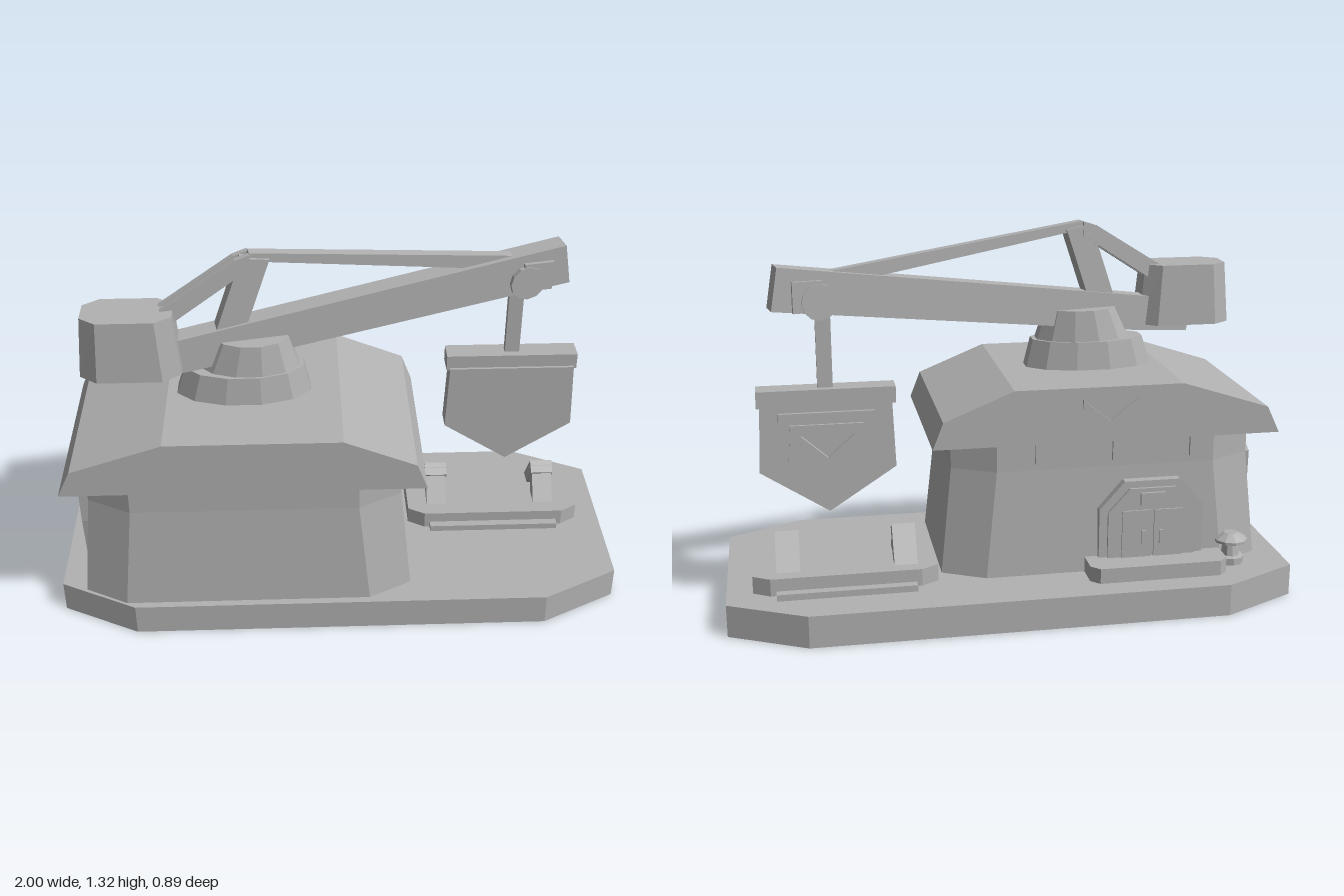
import * as THREE from 'three';

const stone = new THREE.MeshStandardMaterial({ color: 0xb2b2b2, flatShading: true, side: THREE.DoubleSide });
stone.name = 'plain grey';

export function createModel() {
  const model = new THREE.Group();

  const add = (name, geo, parent = model) => {
    const m = new THREE.Mesh(geo, stone);
    m.name = name;
    parent.add(m);
    return m;
  };

  // box given by its limits
  const box = (name, x0, x1, y0, y1, z0, z1, parent) => {
    const m = add(name, new THREE.BoxGeometry(x1 - x0, y1 - y0, z1 - z0), parent);
    m.position.set((x0 + x1) / 2, (y0 + y1) / 2, (z0 + z1) / 2);
    return m;
  };

  // outline in x and y, extruded from z0 to z1
  const plate = (name, pts, z0, z1, parent) => {
    const shape = new THREE.Shape(pts.map(p => new THREE.Vector2(...p)));
    const geo = new THREE.ExtrudeGeometry(shape, { depth: z1 - z0, bevelEnabled: false });
    geo.translate(0, 0, z0);
    return add(name, geo, parent);
  };

  // convex rings stacked upwards, closed on top and, if wanted, below
  const loft = (name, rings, closedBelow = false) => {
    const pos = [], n = rings[0].length;
    const tri = (...p) => p.forEach(v => pos.push(...v));
    for (let r = 0; r < rings.length - 1; r++) {
      const a = rings[r], b = rings[r + 1];
      for (let i = 0; i < n; i++) {
        const j = (i + 1) % n;
        tri(a[i], a[j], b[j]);
        tri(a[i], b[j], b[i]);
      }
    }
    const lo = rings[0], hi = rings[rings.length - 1];
    for (let i = 1; i < n - 1; i++) {
      if (closedBelow) tri(lo[0], lo[i + 1], lo[i]);
      tri(hi[0], hi[i], hi[i + 1]);
    }
    const geo = new THREE.BufferGeometry();
    geo.setAttribute('position', new THREE.Float32BufferAttribute(pos, 3));
    geo.computeVertexNormals();
    return add(name, geo);
  };

  // rectangle ring with cut corners
  const oct = (y, x0, x1, z0, z1, cx, cz) => [
    [x1, y, z1 - cz], [x1, y, z0 + cz], [x1 - cx, y, z0], [x0 + cx, y, z0],
    [x0, y, z0 + cz], [x0, y, z1 - cz], [x0 + cx, y, z1], [x1 - cx, y, z1],
  ];

  // ground slab, hollow underneath
  const slab = y => oct(y, -1, 1, -0.445, 0.445, 0.27, 0.135);
  loft('groundSlab', [slab(0), slab(0.115)]);

  // house walls and roof
  loft('houseWalls', [
    oct(0.115, -0.91, 0.25, -0.24, 0.42, 0.15, 0.078),
    oct(0.5, -0.87, 0.21, -0.22, 0.395, 0.15, 0.078),
    oct(0.61, -0.87, 0.21, -0.22, 0.395, 0.15, 0.078),
  ]);
  plate('roof', [[-0.945, 0.605], [0.287, 0.605], [0.25, 0.7], [0.005, 0.8],
    [-0.59, 0.8], [-0.9, 0.7]], -0.26, 0.432);

  // chevron badge on a back face
  const chevron = (name, cx, y, w, z0, z1) => plate(name, [
    [cx - w, y + 0.12], [cx - w, y + 0.085], [cx, y], [cx + w, y + 0.085],
    [cx + w, y + 0.12], [cx, y + 0.04]], z0, z1);
  chevron('roofChevron', -0.33, 0.64, 0.098, -0.27, -0.255);

  // small brackets under the back eave
  for (const x of [-0.09, -0.365, -0.645]) box('eaveBracket', x - 0.015, x + 0.015, 0.525, 0.61, -0.232, -0.21);

  // pointed wall spikes on the side
  for (const z of [-0.03, 0.225]) {
    const spike = plate('wallSpike', [[-0.036, 0.475], [-0.032, 0.36], [-0.008, 0.19], [0.008, 0.19],
      [0.032, 0.36], [0.036, 0.475], [0, 0.495]], -0.025, 0.025);
    spike.rotation.y = -Math.PI / 2;
    spike.position.set(-0.888, 0, z);
  }

  // back doorway with step
  const step = y => oct(y, -0.75, -0.253, -0.357, -0.15, 0.03, 0.03);
  loft('doorStep', [step(0.115), step(0.17)]);
  const arch = (name, w, y1, c, z0, z1) => plate(name, [
    [-0.49 - w, 0.17], [-0.49 + w, 0.17], [-0.49 + w, y1 - c], [-0.49 + w - c * 0.9, y1],
    [-0.49 - w + c * 0.9, y1], [-0.49 - w, y1 - c]], z0, z1);
  arch('doorFrame', 0.19, 0.45, 0.1, -0.255, -0.19);
  arch('doorSurround', 0.16, 0.425, 0.085, -0.265, -0.25);
  for (const s of [-1, 1]) {
    const x = -0.49 + s * 0.058;
    box('doorLeaf', x - 0.052, x + 0.052, 0.17, 0.345, -0.271, -0.26);
    box('doorHandle', x - s * 0.025 - 0.008, x - s * 0.025 + 0.008, 0.22, 0.27, -0.278, -0.27);
  }
  box('doorLamp', -0.535, -0.445, 0.362, 0.41, -0.275, -0.26);

  // bollard beside the door
  const profile = [[0.05, 0], [0.05, 0.025], [0.035, 0.03], [0.028, 0.075],
    [0.06, 0.08], [0.06, 0.09], [0.025, 0.112], [0, 0.112]].map(p => new THREE.Vector2(...p));
  add('bollard', new THREE.LatheGeometry(profile, 10)).position.set(-0.795, 0.115, -0.235);

  // crane turret
  const oval = (y, x0, x1, z0, z1) => Array.from({ length: 12 }, (_, i) => {
    const a = (i + 0.5) * Math.PI / 6, k = Math.cos(Math.PI / 12);
    return [(x0 + x1) / 2 + (x1 - x0) / 2 / k * Math.cos(a), y,
      (z0 + z1) / 2 - (z1 - z0) / 2 / k * Math.sin(a)];
  });
  loft('turretBase', [oval(0.8, -0.556, -0.096, -0.03, 0.2), oval(0.9, -0.524, -0.12, -0.02, 0.19)]);
  loft('turretTop', [oval(0.9, -0.472, -0.136, -0.012, 0.182), oval(1.01, -0.42, -0.17, -0.004, 0.17)]);

  // crane arm, swung slightly to the back
  const crane = new THREE.Group();
  crane.name = 'craneArm';
  crane.position.z = 0.02;
  crane.rotation.y = Math.atan(0.2);
  model.add(crane);
  plate('boom', [[-0.72, 0.895], [-0.5, 0.915], [0.825, 1.085], [0.8, 1.23], [-0.745, 1.01]], -0.037, 0.037, crane);
  plate('mast', [[-0.43, 1.03], [-0.325, 1.04], [-0.235, 1.295], [-0.33, 1.31]], -0.027, 0.027, crane);
  plate('frontStay', [[-0.31, 1.3], [-0.24, 1.283], [0.46, 1.175], [0.64, 1.19], [0.62, 1.203], [-0.3, 1.322]],
    -0.018, 0.018, crane);
  for (const s of [-1, 1]) {
    plate('rearStay', [[-0.72, 1.03], [-0.68, 1.03], [-0.3, 1.27], [-0.3, 1.32], [-0.35, 1.305], [-0.72, 1.08]],
      s * 0.018 - 0.01, s * 0.018 + 0.01, crane);
  }

  // counterweight
  loft('counterweight', [
    oct(0.93, -0.865, -0.527, 0.062, 0.249, 0.06, 0.045),
    oct(1.15, -0.847, -0.547, 0.072, 0.24, 0.055, 0.04),
  ], true);

  // pulley housing at the boom tip
  for (const s of [-1, 1]) {
    box('pulleyCheek', 0.65, 0.755, 1.075, 1.18, s * 0.042 - 0.008, s * 0.042 + 0.008, crane);
  }
  const pulley = add('pulley', new THREE.CylinderGeometry(0.062, 0.062, 0.108, 12), crane);
  pulley.rotation.x = Math.PI / 2;
  pulley.position.set(0.665, 1.108, 0);

  // hanging shield sign
  box('signRod', 0.608, 0.66, 0.79, 1.08, -0.128, -0.1);
  box('signBar', 0.397, 0.868, 0.75, 0.808, -0.153, -0.073);
  const shield = (name, w, top, side, tip, z0, z1) => plate(name, [
    [0.633 - w, side], [0.633, tip], [0.633 + w, side], [0.633 + w - 0.01, top], [0.633 - w + 0.01, top]], z0, z1);
  shield('signBoard', 0.234, 0.76, 0.517, 0.365, -0.135, -0.063);
  shield('signPanel', 0.175, 0.725, 0.54, 0.415, -0.147, -0.13);
  shield('signInset', 0.135, 0.685, 0.555, 0.455, -0.156, -0.14);
  chevron('signChevron', 0.633, 0.53, 0.09, -0.17, -0.15);

  // side platform with rails
  const deck = y => oct(y, 0.27, 0.91, -0.262, 0.032, 0.06, 0.035);
  loft('sidePlatform', [deck(0.115), deck(0.177)]);
  for (const z of [-0.292, 0.044]) box('platformRail', 0.35, 0.83, 0.115, 0.138, z - 0.016, z + 0.016);

  // tent-shaped cradles, each of two leaning slabs
  for (const x of [0.38, 0.787]) {
    const slabGeo = new THREE.BoxGeometry(0.082, 0.15, 0.05);
    const back = add('cradleBackSlab', slabGeo);
    back.position.set(x, 0.223, -0.15);
    back.rotation.x = 0.61;
    const front = add('cradleFrontSlab', slabGeo.clone().scale(0.9, 1, 1));
    front.position.set(x, 0.214, -0.085);
    front.rotation.x = -0.66;
  }

  return model;
}
